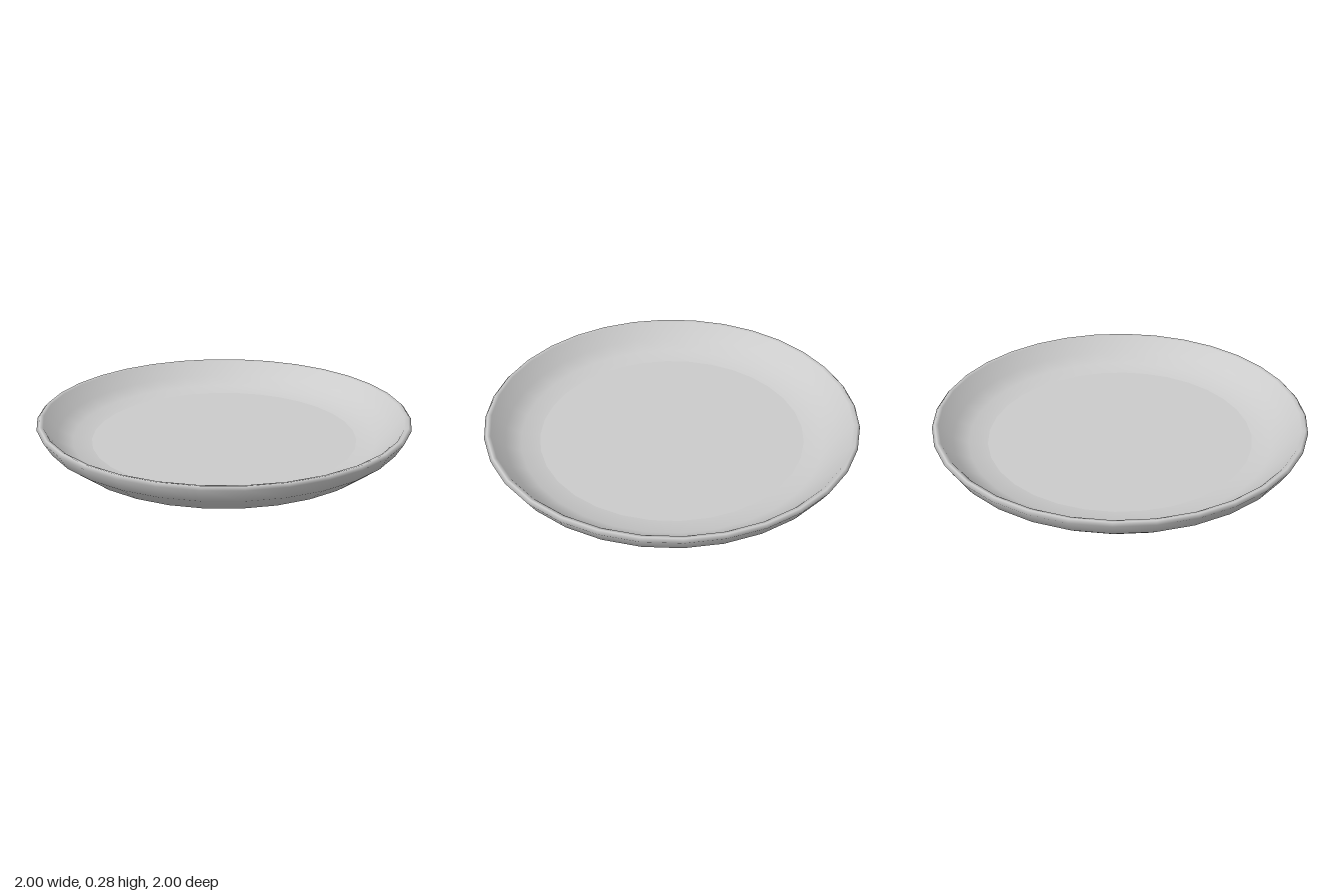
import * as THREE from 'three';

const SEGMENTS = 32;

// Revolve a profile of [radius, height] points, listed from the underside outwards and over the rim
function turned(name, profile, material) {
  const points = profile.map(([r, y]) => new THREE.Vector2(r, y));
  const mesh = new THREE.Mesh(new THREE.LatheGeometry(points, SEGMENTS), material);
  mesh.name = name;
  return mesh;
}

export function createModel() {
  const plate = new THREE.Group();
  plate.name = 'plate';
  const material = new THREE.MeshStandardMaterial({ color: 0xcccccc });

  // Recessed underside inside the foot
  plate.add(turned('underside', [[0, 0.04], [0.46, 0.04], [0.51, 0]], material));

  // Flat ring the plate stands on
  plate.add(turned('footRing', [[0.51, 0], [0.59, 0]], material));

  // Flared wall, rounded lip and curved inner slope, smooth throughout
  plate.add(turned('wallAndRim', [
    [0.59, 0], [0.85, 0.11], [0.96, 0.2], [1, 0.27],
    [0.985, 0.285], [0.965, 0.28],
    [0.9, 0.2], [0.82, 0.157], [0.72, 0.14],
  ], material));

  // Flat eating surface
  plate.add(turned('floor', [[0.72, 0.14], [0, 0.14]], material));

  return plate;
}
